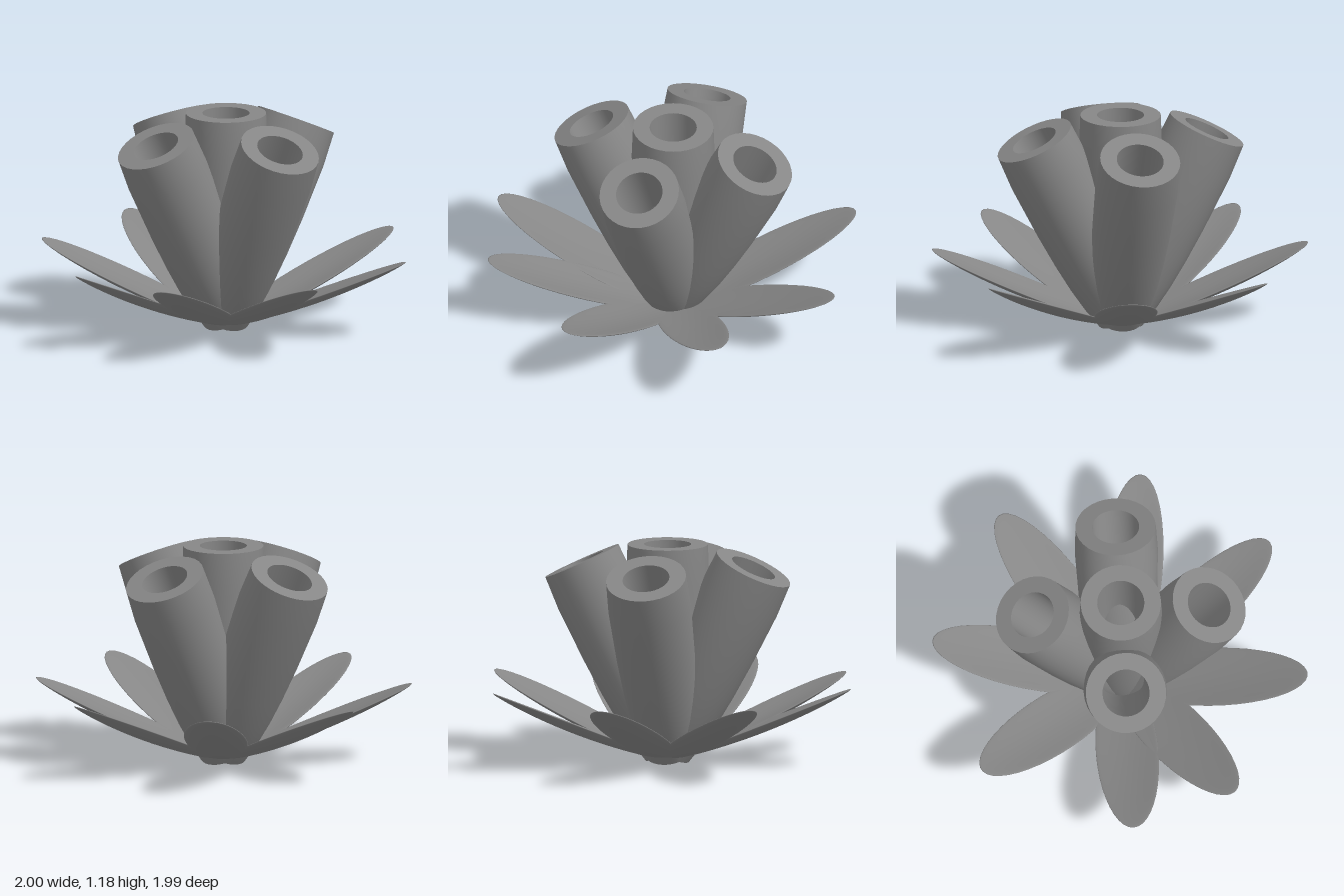
import * as THREE from 'three';
import { toCreasedNormals } from 'three/addons/utils/BufferGeometryUtils.js';

const material = new THREE.MeshStandardMaterial({ color: 0x868686 });
const deg = THREE.MathUtils.degToRad;

// Hollow tube: narrow foot, swelling wall, slightly drawn-in collar and a thick flat rim
function tubeGeometry(length) {
  const profile = [
    [0.02, 0], [0.127, 0], [0.156, 0.12], [0.179, 0.26], [0.196, 0.42],
    [0.21, 0.62], [0.222, length - 0.19], [0.215, length],
    [0.126, length], [0.122, length - 0.3], [0.11, 0.3], [0.085, 0.06],
    [0.02, 0.03], [0.02, 0],
  ].map(([r, y]) => new THREE.Vector2(r, y));
  return toCreasedNormals(new THREE.LatheGeometry(profile, 32), 0.6);
}

// Elongated cupped leaf with a rounded lip, base at the origin, pointing along +z
function petalGeometry(length, halfWidth) {
  const geometry = new THREE.SphereGeometry(1, 40, 24);
  const p = geometry.attributes.position;
  for (let i = 0; i < p.count; i++) {
    const x = p.getX(i), y = p.getY(i), z = p.getZ(i);
    p.setXYZ(i, x * halfWidth, 0.016 * y - 0.032 * y * y, (z + 1) * length / 2);
  }
  geometry.computeVertexNormals();
  return geometry;
}

export function createModel() {
  const group = new THREE.Group();

  const add = (name, geometry, y, turn, tilt) => {
    const mesh = new THREE.Mesh(geometry, material);
    mesh.name = name;
    mesh.rotation.order = 'YXZ';
    mesh.rotation.set(deg(tilt), deg(turn), 0);
    mesh.position.set(0.004, y, 0);
    group.add(mesh);
  };

  // Upright tube in the middle, four leaning outwards around it
  add('centreTube', tubeGeometry(1.145), 0.034, 0, 0);
  const outer = tubeGeometry(1.118);
  for (let i = 0; i < 4; i++) add('outerTube', outer, 0.056, i * 90, 25);

  // Ring of rising petals; headings are measured from the front towards +x
  const petal = petalGeometry(1.092, 0.167);
  for (const heading of [-11.5, 34.5, 80.5, 127, 173.5, 219.5, 270.5, 303.5]) {
    add('petal', petal, 0.012, heading, -22.7);
  }
  return group;
}
